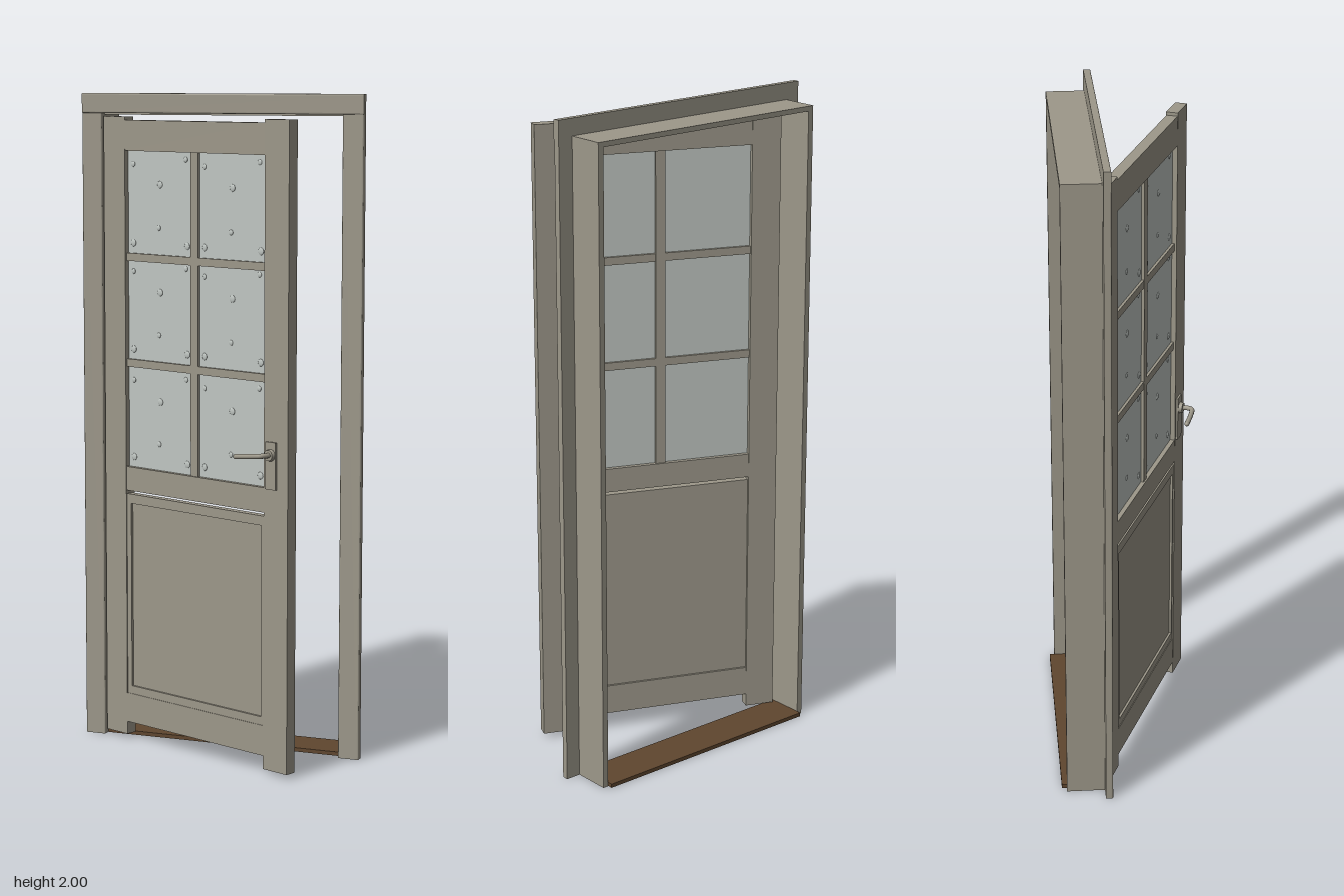
import * as THREE from 'three';

const paint = new THREE.MeshStandardMaterial({ color: 0x9d988a });
const glass = new THREE.MeshStandardMaterial({ color: 0xc0c6c2 });
const wood = new THREE.MeshStandardMaterial({ color: 0x60472f });
paint.name = 'greige paint';
glass.name = 'pale glass';
wood.name = 'brown wood';

function add(parent, name, geometry, material) {
  const mesh = new THREE.Mesh(geometry, material);
  mesh.name = name;
  parent.add(mesh);
  return mesh;
}

// Box given by its limits on each axis
function block(parent, name, x0, x1, y0, y1, z0, z1, material = paint) {
  const m = add(parent, name, new THREE.BoxGeometry(x1 - x0, y1 - y0, z1 - z0), material);
  m.position.set((x0 + x1) / 2, (y0 + y1) / 2, (z0 + z1) / 2);
  return m;
}

// Casing board: softened front edges, extruded along its length
function board(parent, name, width, length) {
  const w = width / 2, b = 0.005, s = new THREE.Shape();
  s.moveTo(-w, 0);
  s.lineTo(w, 0);
  s.lineTo(w, 0.022 - b);
  s.quadraticCurveTo(w, 0.022, w - b, 0.022);
  s.lineTo(-w + b, 0.022);
  s.quadraticCurveTo(-w, 0.022, -w, 0.022 - b);
  const g = new THREE.ExtrudeGeometry(s, { depth: length, bevelEnabled: false, curveSegments: 4 });
  g.rotateX(Math.PI / 2); // length runs down -y, face points to +z
  return add(parent, name, g, paint);
}

function rectPath(target, x0, x1, y0, y1) {
  target.moveTo(x0, y0);
  target.lineTo(x1, y0);
  target.lineTo(x1, y1);
  target.lineTo(x0, y1);
  target.closePath();
  return target;
}

function createFrame() {
  const frame = new THREE.Group();
  frame.name = 'doorFrame';
  for (const [side, s] of [['right', -1], ['left', 1]]) {
    const a = s * 0.385, b = s * 0.403;
    block(frame, side + 'Jamb', Math.min(a, b), Math.max(a, b), 0, 1.95, -0.215, -0.1);
    const casing = board(frame, side + 'Casing', 0.065, 1.94);
    casing.position.set(s * 0.4175, 1.94, -0.1);
  }
  block(frame, 'headJamb', -0.385, 0.385, 1.935, 1.95, -0.215, -0.1);
  const head = board(frame, 'headCasing', 0.06, 0.9);
  head.rotation.z = Math.PI / 2;
  head.position.set(-0.45, 1.97, -0.1);
  block(frame, 'threshold', -0.384, 0.384, 0, 0.012, -0.23, -0.1, wood);
  return frame;
}

// Handle: back plate, spindle and curved lever
function createHandle() {
  const handle = new THREE.Group();
  handle.name = 'handle';
  block(handle, 'handlePlate', 0.672, 0.712, 0.86, 1.0, 0, 0.006);
  const rose = add(handle, 'handleRose', new THREE.CylinderGeometry(0.016, 0.018, 0.012, 20), paint);
  rose.rotation.x = Math.PI / 2;
  rose.position.set(0.693, 0.962, 0.011);
  const path = new THREE.CatmullRomCurve3([
    [0.693, 0.962, 0.004], [0.695, 0.963, 0.03], [0.688, 0.963, 0.046],
    [0.65, 0.959, 0.053], [0.602, 0.954, 0.056],
  ].map(p => new THREE.Vector3(...p)));
  add(handle, 'handleLever', new THREE.TubeGeometry(path, 28, 0.0075, 10), paint);
  const tip = add(handle, 'leverTip', new THREE.SphereGeometry(0.0075, 10, 8), paint);
  tip.position.set(0.602, 0.954, 0.056);
  return handle;
}

// Door leaf: hinge edge at x = 0, front face at z = 0
function createLeaf() {
  const leaf = new THREE.Group();
  leaf.name = 'doorLeaf';
  const W = 0.755, T = 0.036, L = 0.09, R = 0.662;

  block(leaf, 'hingeStile', 0, L, 0.015, 1.93, -T, 0);
  block(leaf, 'lockStile', R, W, 0.015, 1.93, -T, 0);
  for (const [name, y0, y1] of [['bottomRail', 0.055, 0.147], ['middleRail', 0.788, 0.862], ['topRail', 1.828, 1.92]]) {
    block(leaf, name, L, R, y0, y1, -T + 0.001, -0.001);
  }

  // Lower panel with a raised moulding round its front
  block(leaf, 'lowerPanel', L, R, 0.147, 0.777, -0.028, -0.01);
  const ring = rectPath(new THREE.Shape(), L, R - 0.002, 0.147, 0.777);
  ring.holes.push(rectPath(new THREE.Path(), L + 0.018, R - 0.012, 0.172, 0.748));
  const moulding = add(leaf, 'panelMoulding', new THREE.ExtrudeGeometry(ring, { depth: 0.007, bevelEnabled: false }), paint);
  moulding.position.z = -0.01;

  // Glazing and its bars
  block(leaf, 'glass', L, R, 0.862, 1.828, -0.021, -0.015, glass);
  const midX = 0.373;
  block(leaf, 'verticalBar', midX - 0.015, midX + 0.015, 0.862, 1.828, -0.03, -0.006);
  for (const y of [1.183, 1.507]) {
    block(leaf, 'horizontalBar', L, R, y - 0.012, y + 0.012, -0.029, -0.007);
  }

  // Shallow glass beads scattered in every pane
  const bead = new THREE.SphereGeometry(0.011, 10, 6);
  const spots = [[0.08, 0.1], [0.08, 0.87], [0.5, 0.68], [0.48, 0.26], [0.92, 0.1], [0.9, 0.93]];
  for (const x0 of [L, midX + 0.015]) {
    for (const y0 of [0.862, 1.195, 1.519]) {
      spots.forEach(([u, v], i) => {
        const m = add(leaf, 'glassBead', bead, glass);
        m.position.set(x0 + u * 0.268, y0 + v * 0.309, -0.015);
        const s = i % 2 ? 0.75 : 1;
        m.scale.set(s, s, 0.25);
      });
    }
  }

  leaf.add(createHandle());
  return leaf;
}

export function createModel() {
  const model = new THREE.Group();
  model.name = 'openDoor';
  const leaf = createLeaf();
  leaf.position.set(-0.381, 0, -0.085);
  leaf.rotation.y = -0.387; // swung open towards the front
  model.add(createFrame(), leaf);
  return model;
}
